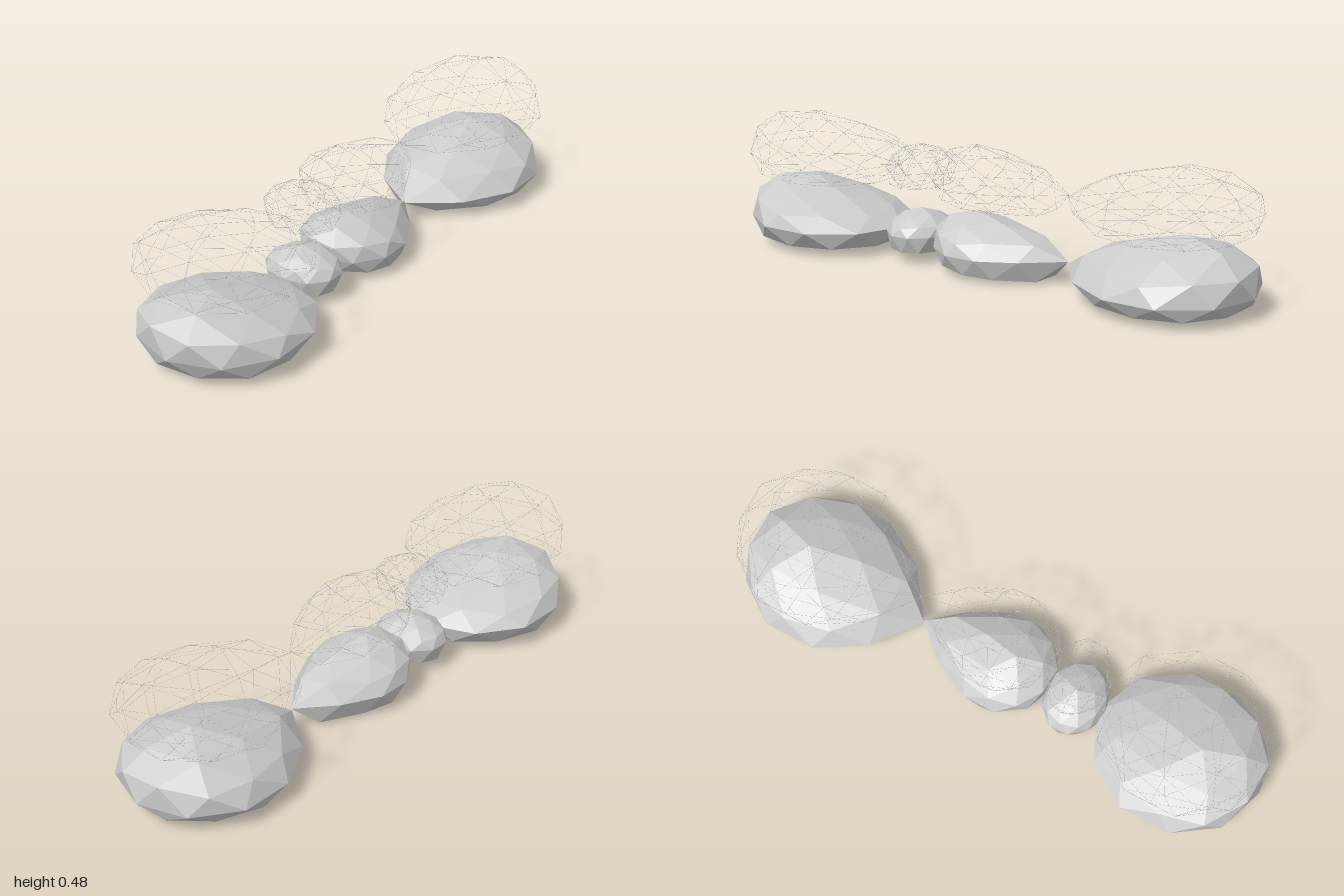
import * as THREE from 'three';
import { mergeGeometries } from 'three/addons/utils/BufferGeometryUtils.js';

const LIFT = 0.23;       // height of each wire cage above its stone
const WIRE = 0.0005;     // wire radius

// z: centre, rx/rz: plan radii, tip: extra length of the tapered end (signed),
// eq: height of the widest ring, top/drop: height above and below it,
// lean: z shift of the crown, tilt: crown slope, slope: slope of the underside
const STONES = [
  { name: 'frontStone', z: 0.70, rx: 0.288, rz: 0.30, tip: -0.015, eq: 0.094, top: 0.14, drop: 0.078, lean: 0.07, tilt: 0.05, slope: 0 },
  { name: 'smallStone', z: 0.297, rx: 0.14, rz: 0.114, tip: 0, eq: 0.1, top: 0.08, drop: 0.072, lean: 0, tilt: 0, slope: 0 },
  { name: 'middleStone', z: 0.01, rx: 0.186, rz: 0.193, tip: -0.13, eq: 0.082, top: 0.125, drop: 0.076, lean: 0.05, tilt: 0.005, slope: 0.02 },
  { name: 'backStone', z: -0.70, rx: 0.288, rz: 0.30, tip: 0.09, eq: 0.075, top: 0.172, drop: 0.06, lean: -0.06, tilt: -0.01, slope: 0 },
];

// Faceted stone: an 80-sided ball with a vertex on top, squashed and tapered
function stoneGeometry(s) {
  const geo = new THREE.IcosahedronGeometry(1, 1);
  geo.rotateX(-Math.atan2((1 + Math.sqrt(5)) / 2, 1));
  geo.rotateY(Math.PI / 10);
  const p = geo.attributes.position;
  for (let i = 0; i < p.count; i++) {
    const nx = p.getX(i), ny = p.getY(i), nz = p.getZ(i);
    const up = Math.max(ny, 0), down = Math.max(-ny, 0);
    const r = Math.hypot(nx, nz);
    const taper = s.tip * nz > 0 ? s.tip * nz ** 6 / (r ** 4 + 1e-6) : 0;
    // the crown falls away towards both sides
    const crown = up * (s.top + s.tilt * nz) * (1 - 0.28 * Math.abs(nx));
    const belly = (s.drop - s.slope * nz) * down ** 0.3 * (down > 1e-4 ? 1 : 0);
    p.setXYZ(i, s.rx * nx, s.eq + crown - belly, s.z + s.rz * nz + taper + s.lean * up);
  }
  geo.computeVertexNormals();
  return geo;
}

// Thin three-sided rod between two points
function rod(a, b) {
  const dir = b.clone().sub(a);
  const geo = new THREE.CylinderGeometry(WIRE, WIRE, dir.length(), 3, 1, true);
  const turn = new THREE.Quaternion().setFromUnitVectors(new THREE.Vector3(0, 1, 0), dir.normalize());
  geo.applyQuaternion(turn);
  const mid = a.clone().add(b).multiplyScalar(0.5);
  return geo.translate(mid.x, mid.y, mid.z);
}

// One rod for every edge of the stone
function cageGeometry(stone) {
  const p = stone.attributes.position;
  const seen = new Set();
  const rods = [];
  const key = (v) => v.toArray().map((c) => Math.round(c * 1e4)).join(',');
  for (let i = 0; i < p.count; i += 3) {
    for (let j = 0; j < 3; j++) {
      const a = new THREE.Vector3().fromBufferAttribute(p, i + j);
      const b = new THREE.Vector3().fromBufferAttribute(p, i + (j + 1) % 3);
      const id = [key(a), key(b)].sort().join('|');
      if (seen.has(id)) continue;
      seen.add(id);
      rods.push(rod(a, b));
    }
  }
  return mergeGeometries(rods);
}

export function createModel() {
  const model = new THREE.Group();
  model.name = 'stoneRow';
  const stoneMat = new THREE.MeshStandardMaterial({ color: 0xcccccc, flatShading: true });
  const wireMat = new THREE.MeshStandardMaterial({ color: 0xcccccc, side: THREE.DoubleSide });
  for (const s of STONES) {
    const stone = new THREE.Mesh(stoneGeometry(s), stoneMat);
    stone.name = s.name;
    // wire copy floating above the stone
    const cage = new THREE.Mesh(cageGeometry(stone.geometry), wireMat);
    cage.name = s.name + 'WireCage';
    cage.position.y = LIFT;
    model.add(stone, cage);
  }
  return model;
}
